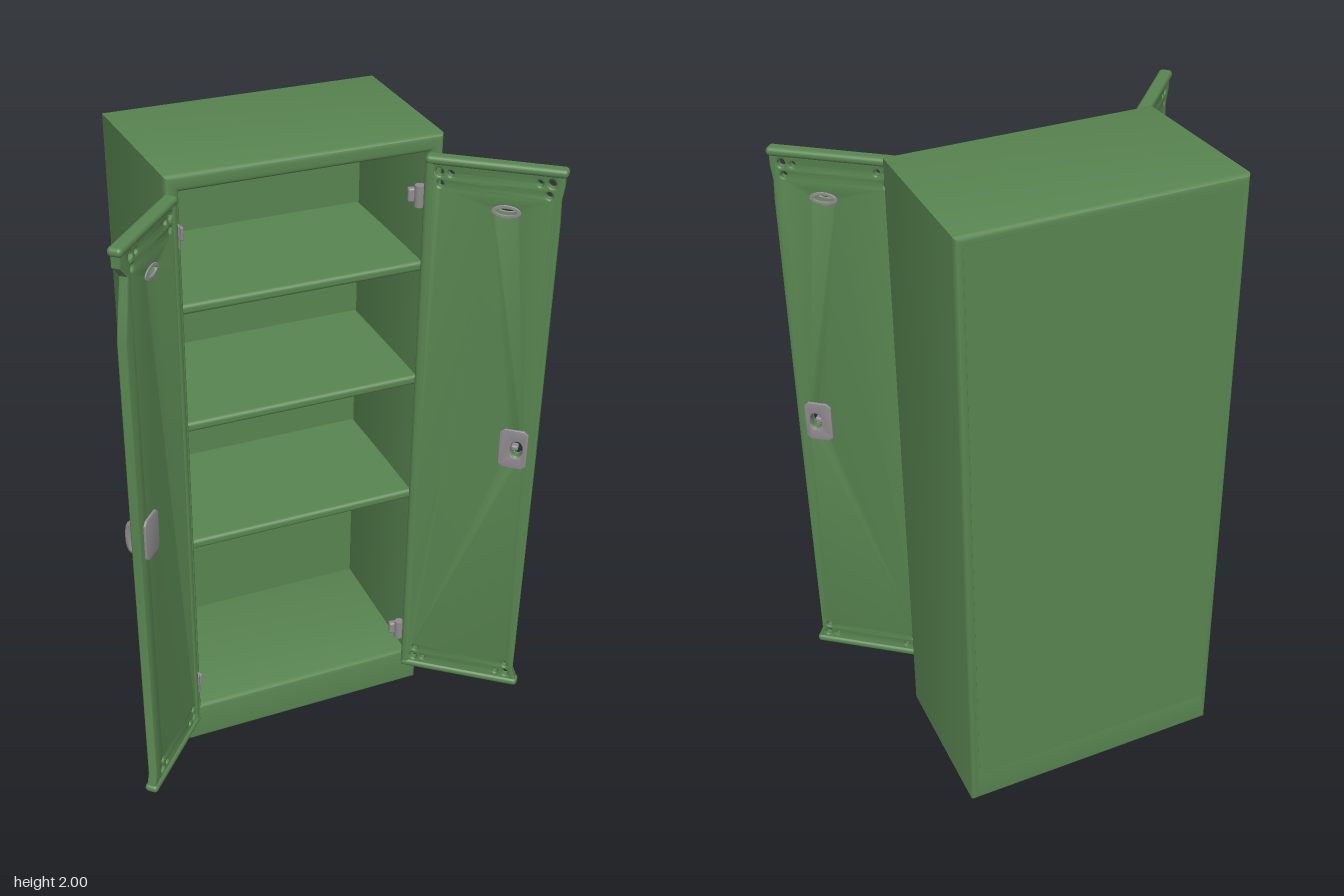
import * as THREE from 'three';
import { toCreasedNormals } from 'three/addons/utils/BufferGeometryUtils.js';
import { RoundedBoxGeometry } from 'three/addons/geometries/RoundedBoxGeometry.js';

const green = new THREE.MeshStandardMaterial({ color: 0x588450 });
green.name = 'green paint';
const grey = new THREE.MeshStandardMaterial({ color: 0x8f8a8f });
grey.name = 'grey metal';

function add(parent, name, geometry, material, x = 0, y = 0, z = 0) {
  const mesh = new THREE.Mesh(geometry, material);
  mesh.name = name;
  mesh.position.set(x, y, z);
  parent.add(mesh);
  return mesh;
}

const box = (w, h, d, r) => new RoundedBoxGeometry(w, h, d, 3, r);

function outline(points) {
  return new THREE.Shape(points.map(([x, y]) => new THREE.Vector2(x, y)));
}

function ellipse(x, y, rx, ry, tilt = 0) {
  return new THREE.Path().absellipse(x, y, rx, ry, 0, Math.PI * 2, true, tilt);
}

// Extrusion centred on z = 0 that keeps its outline size after bevelling
function slab(shape, depth, bevel) {
  const g = new THREE.ExtrudeGeometry(shape, {
    depth: depth - 2 * bevel, bevelSize: bevel, bevelThickness: bevel,
    bevelOffset: -bevel, bevelSegments: 3, curveSegments: 10,
  });
  g.translate(0, 0, -depth / 2 + bevel);
  return toCreasedNormals(g, 0.7);
}

// The cabinet is slightly wider at the back
function taper(g) {
  const p = g.attributes.position;
  for (let i = 0; i < p.count; i++) {
    p.setX(i, p.getX(i) * (1 - 0.035 * (p.getZ(i) + 0.265) / 0.53));
  }
  return g;
}

function buildCabinet() {
  const cabinet = new THREE.Group();
  cabinet.name = 'cabinet';
  const shape = outline([[-0.43, 0], [0.43, 0], [0.43, 2], [-0.43, 2]]);
  shape.holes.push(outline([[-0.385, 0.135], [-0.385, 1.95], [0.385, 1.95], [0.385, 0.135]]));
  add(cabinet, 'shell', taper(slab(shape, 0.53, 0.014)), green, 0, 0, -0.16);
  add(cabinet, 'backPanel', new THREE.BoxGeometry(0.81, 1.86, 0.036), green, 0, 1.04, -0.408);
  for (const y of [0.775, 1.2, 1.587]) {
    add(cabinet, 'shelf', box(0.77, 0.032, 0.48, 0.012), green, 0, y, -0.155);
  }
  return cabinet;
}

// side is 1 for the model's left door, -1 for its right; local x runs from hinge to free edge
function buildDoor(side, hinge, tip, slotX) {
  const door = new THREE.Group();
  door.name = side > 0 ? 'leftDoor' : 'rightDoor';
  const dx = tip[0] - hinge[0], dz = tip[1] - hinge[1];
  const w = Math.hypot(dx, dz), low = 0.125, high = 1.965, lockX = w - 0.075;
  door.position.set(hinge[0], 0, hinge[1]);
  door.rotation.y = Math.atan2(-dz, dx);

  // Panel with its slot, lock hole and pierced corners
  const dent = side < 0 ? 0.04 : 0.006;
  const panel = outline([
    [0, low], [w, low], [w, low + 0.03], [w - 0.012, low + 0.06], [w - 0.006, 1.0], [w - 0.004, 1.7],
    [w - dent * 0.6, 1.8], [w - dent, 1.87], [w, 1.91], [w, high], [0, high],
  ]);
  panel.holes.push(ellipse(slotX, 1.825, 0.032, 0.012));
  if (side > 0) panel.holes.push(ellipse(lockX + 0.01, 1.055, 0.018, 0.028));
  for (const [cx, sx] of [[0, 1], [w - (side < 0 ? 0.025 : 0), -1]]) {
    for (const [cy, sy] of [[low, 1], [high, -1]]) {
      for (const [u, v, r] of [[0.035, 0.045, 0.011], [0.068, 0.046, 0.008], [0.04, 0.08, 0.009]]) {
        panel.holes.push(ellipse(cx + sx * u, cy + sy * v, r, r * 1.2, 0.5));
      }
    }
  }
  add(door, 'panel', slab(panel, 0.028, 0.005), green);

  // Rolled rails along the top and bottom, and the hinge edge
  for (const y of [low + 0.012, high - 0.012]) {
    add(door, 'rail', box(w + 0.014, 0.026, 0.042, 0.012), green, w / 2, y, 0);
  }
  add(door, 'hingeEdge', box(0.03, high - low, 0.038, 0.013), green, 0.008, (low + high) / 2, 0);

  // Thin slot surround and lock plate on both faces
  const surround = new THREE.Shape().absellipse(0, 0, 0.042, 0.02, 0, Math.PI * 2);
  surround.holes.push(ellipse(0, 0, 0.029, 0.01));
  const plate = outline([
    [-0.03, -0.068], [0.03, -0.068], [0.043, -0.055], [0.043, 0.055],
    [0.03, 0.068], [-0.03, 0.068], [-0.043, 0.055], [-0.043, -0.055],
  ]);
  if (side > 0) plate.holes.push(ellipse(0.01, 0, 0.02, 0.03));
  for (const face of [-1, 1]) {
    add(door, 'slotSurround', slab(surround, 0.006, 0.001), grey, slotX, 1.825, face * 0.015);
    add(door, 'lockPlate', slab(plate, 0.009, 0.002), grey, lockX, 1.055, face * 0.016);
  }
  if (side > 0) {
    add(door, 'latch', box(0.022, 0.018, 0.026, 0.006), grey, lockX + 0.003, 1.055, 0);
  } else {
    // Pull handle on the outer face
    const curve = new THREE.CatmullRomCurve3([
      [0, -0.055, 0.012], [0, -0.04, 0.036], [0, 0.04, 0.036], [0, 0.055, 0.012],
    ].map((p) => new THREE.Vector3(...p)));
    add(door, 'handle', new THREE.TubeGeometry(curve, 20, 0.01, 8), grey, lockX + 0.025, 1.055, 0);
  }
  return door;
}

export function createModel() {
  const model = new THREE.Group();
  model.name = 'openCabinet';
  model.add(buildCabinet());
  model.add(buildDoor(1, [0.345, 0.145], [0.645, 0.385], 0.23));
  model.add(buildDoor(-1, [-0.41, 0.145], [-0.64, 0.4], 0.17));

  // Hinges joining the doors to the front frame
  for (const [x, turn] of [[0.335, -0.25], [-0.4, 0.3]]) {
    for (const y of [0.26, 1.835]) {
      const hinge = new THREE.Group();
      hinge.name = 'hinge';
      hinge.position.set(x, y, 0.115);
      hinge.rotation.y = turn;
      add(hinge, 'hingeLeaf', box(0.065, 0.042, 0.022, 0.006), grey);
      add(hinge, 'hingePin', new THREE.CylinderGeometry(0.015, 0.015, 0.065, 12), grey, 0, 0, 0.012);
      model.add(hinge);
    }
  }
  return model;
}
